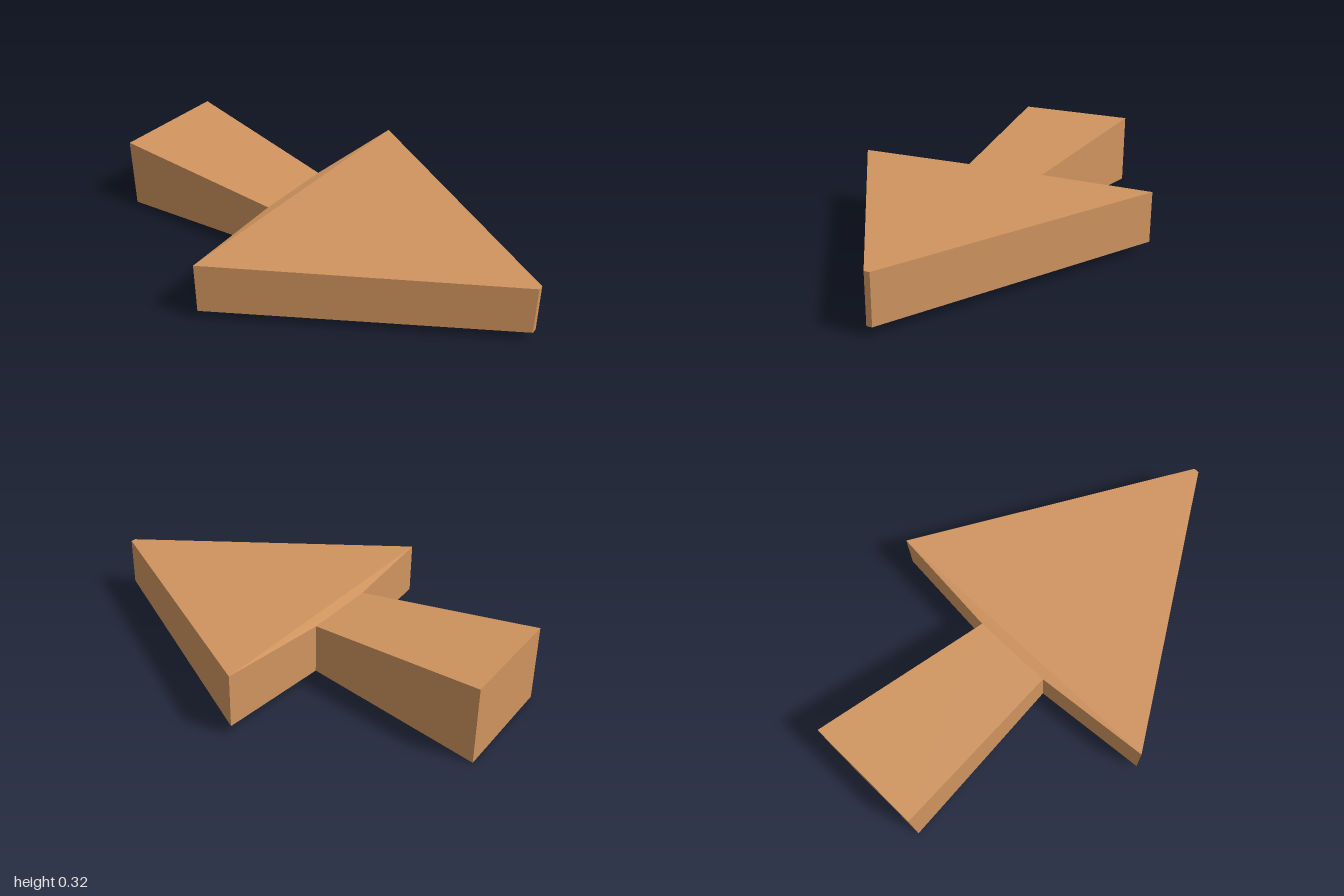
import * as THREE from 'three';

// Joins four-cornered cross-sections [x, bottom, top, back, front] along x and caps both ends.
function loft(sections) {
  const rings = sections.map(([x, y0, y1, z0, z1]) => [
    [x, y0, z0], [x, y0, z1], [x, y1, z1], [x, y1, z0],
  ]);
  const positions = [];
  const quad = (a, b, c, d) => positions.push(...a, ...b, ...c, ...a, ...c, ...d);

  for (let s = 0; s < rings.length - 1; s++) {
    const a = rings[s], b = rings[s + 1];
    for (let i = 0; i < 4; i++) {
      const j = (i + 1) % 4;
      quad(a[i], b[i], b[j], a[j]);
    }
  }
  quad(...rings[0]);
  quad(...[...rings[rings.length - 1]].reverse());

  const geometry = new THREE.BufferGeometry();
  geometry.setAttribute('position', new THREE.Float32BufferAttribute(positions, 3));
  geometry.computeVertexNormals();
  return geometry;
}

export function createModel() {
  const group = new THREE.Group();
  group.name = 'arrowSign';
  const wood = new THREE.MeshStandardMaterial({ color: 0xd0945f, flatShading: true });

  // One solid: flared shaft, swept-back barbs, then the tapering head with a blunt tip
  const arrow = new THREE.Mesh(loft([
    [-1, 0, 0.325, -0.32, 0.213],
    [-0.2, 0.04, 0.255, -0.183, 0.177],
    [-0.157, 0.04, 0.267, -0.698, 0.692],
    [1, 0.04, 0.256, -0.014, 0.01],
  ]), wood);
  arrow.name = 'arrow';
  group.add(arrow);

  return group;
}
